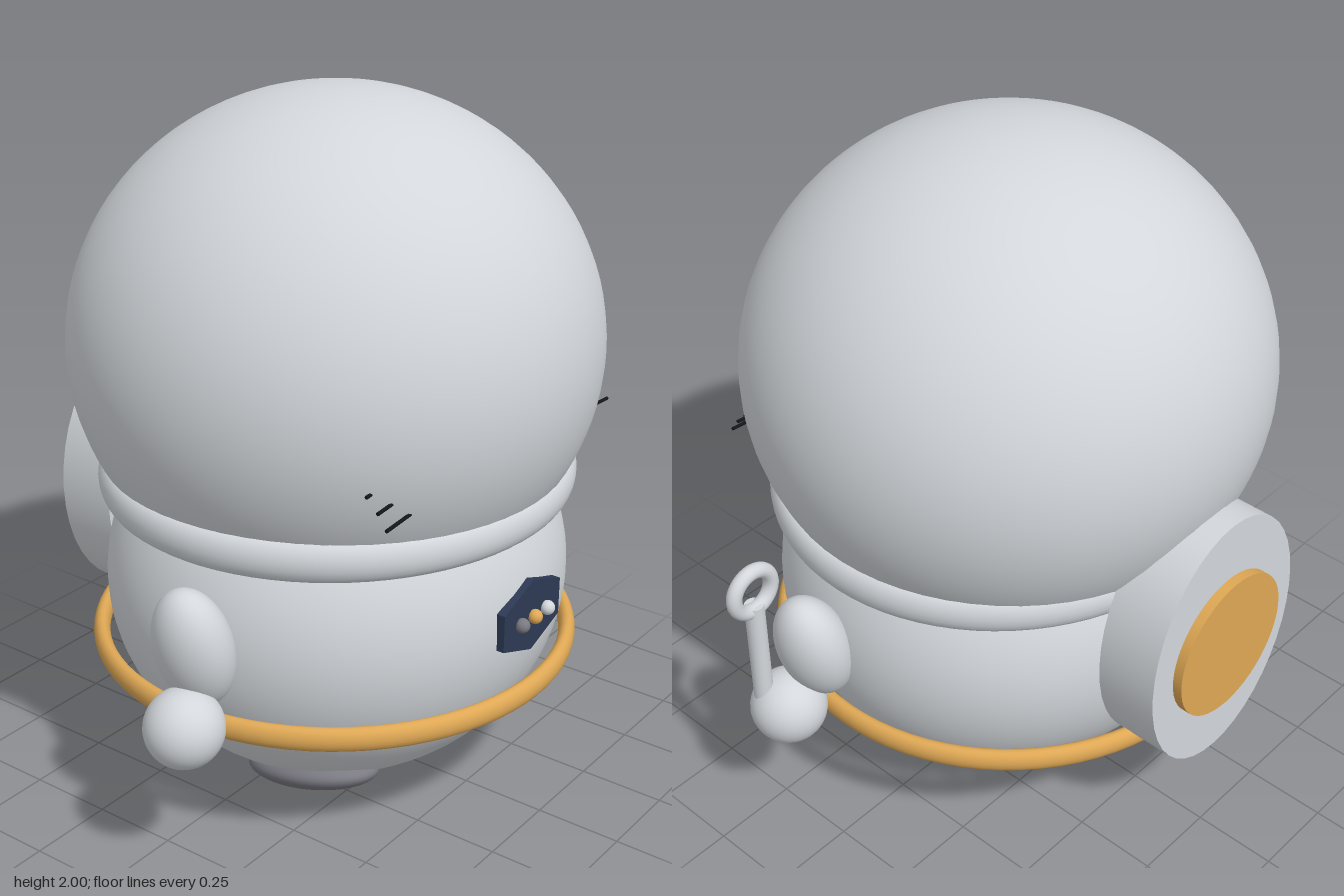
import * as THREE from 'three';

export function createModel() {
  const model = new THREE.Group();
  const mat = (name, color) => {
    const m = new THREE.MeshStandardMaterial({ color });
    m.name = name;
    return m;
  };
  const shell = mat('shellGrey', 0xd3d7db);
  const gold = mat('gold', 0xdfa855);
  const dark = mat('footGrey', 0x7b7a83);
  const navy = mat('navy', 0x2d3a55);
  const black = mat('black', 0x14151a);

  const CX = -0.02; // midline of the figure

  const add = (name, geo, material, x, y, z) => {
    const m = new THREE.Mesh(geo, material);
    m.name = name;
    m.position.set(CX + x, y, z);
    model.add(m);
    return m;
  };
  const ellipsoid = (rx, ry, rz, w = 40, h = 28) =>
    new THREE.SphereGeometry(1, w, h).scale(rx, ry, rz);
  const ring = (rx, rz, tube) =>
    new THREE.TorusGeometry(1, tube, 20, 80).rotateX(Math.PI / 2).scale(rx, 1, rz);

  // Body, head and the two bands
  add('body', ellipsoid(0.69, 0.605, 0.655, 64, 48), shell, 0, 0.608, 0.045);
  add('head', ellipsoid(0.75, 0.71, 0.75, 64, 48), shell, 0, 1.29, 0.035);
  add('collar', ring(0.66, 0.635, 0.058), shell, 0, 0.92, 0.045);
  add('belt', ring(0.69, 0.685, 0.035), gold, 0, 0.41, 0.032);

  // Paired limbs and whiskers
  for (const s of [-1, 1]) {
    const side = s > 0 ? 'left' : 'right';

    const arm = add(side + 'Arm', ellipsoid(0.1, 0.185, 0.115), shell, s * 0.725, 0.655, 0.115);
    arm.rotation.z = -s * 0.25;
    add(side + 'Hand', new THREE.SphereGeometry(0.11, 32, 24), shell, s * 0.808, 0.463, 0.147);

    const foot = add(side + 'Foot', ellipsoid(0.148, 0.06, 0.21), dark, s * 0.31, 0.113, 0.19);
    foot.rotation.set(-0.2, 0, s * 0.2);

    [[1.14, 0.535], [1.105, 0.57], [1.066, 0.597]].forEach(([y, z], i) => {
      const whisker = add(side + 'Whisker' + (i + 1),
        new THREE.CylinderGeometry(0.005, 0.005, 0.15, 8).rotateZ(Math.PI / 2), black, s * 0.475, y, z);
      whisker.rotation.y = -s * 0.08;
    });
  }

  // Wand held in the left hand
  add('wandRod', new THREE.CylinderGeometry(0.028, 0.028, 0.34, 20), shell, 0.865, 0.69, 0.182);
  add('wandRing', new THREE.TorusGeometry(0.065, 0.022, 16, 40), shell, 0.865, 0.907, 0.182);

  // Chest badge with three lights
  const w = 0.143, top = 0.107, mid = 0.055;
  const hex = new THREE.Shape([[0, top], [-w, mid], [-w, -mid], [0, -top], [w, -mid], [w, mid]]
    .map(([x, y]) => new THREE.Vector2(x, y)));
  add('badge', new THREE.ExtrudeGeometry(hex, { depth: 0.025, bevelEnabled: false }),
    navy, 0, 0.63, 0.682);
  [dark, gold, shell].forEach((m, i) =>
    add('badgeLight' + (i + 1), new THREE.SphereGeometry(0.021, 20, 14), m, (i - 1) * 0.065, 0.628, 0.717));

  // Oval backpack with a round gold plate
  add('backpack', new THREE.CylinderGeometry(1, 1, 0.185, 40).rotateX(Math.PI / 2).scale(0.31, 0.405, 1),
    shell, 0, 0.72, -0.668);
  add('backpackPlate', new THREE.CylinderGeometry(0.22, 0.22, 0.03, 48).rotateX(Math.PI / 2),
    gold, 0.003, 0.72, -0.774);

  return model;
}
